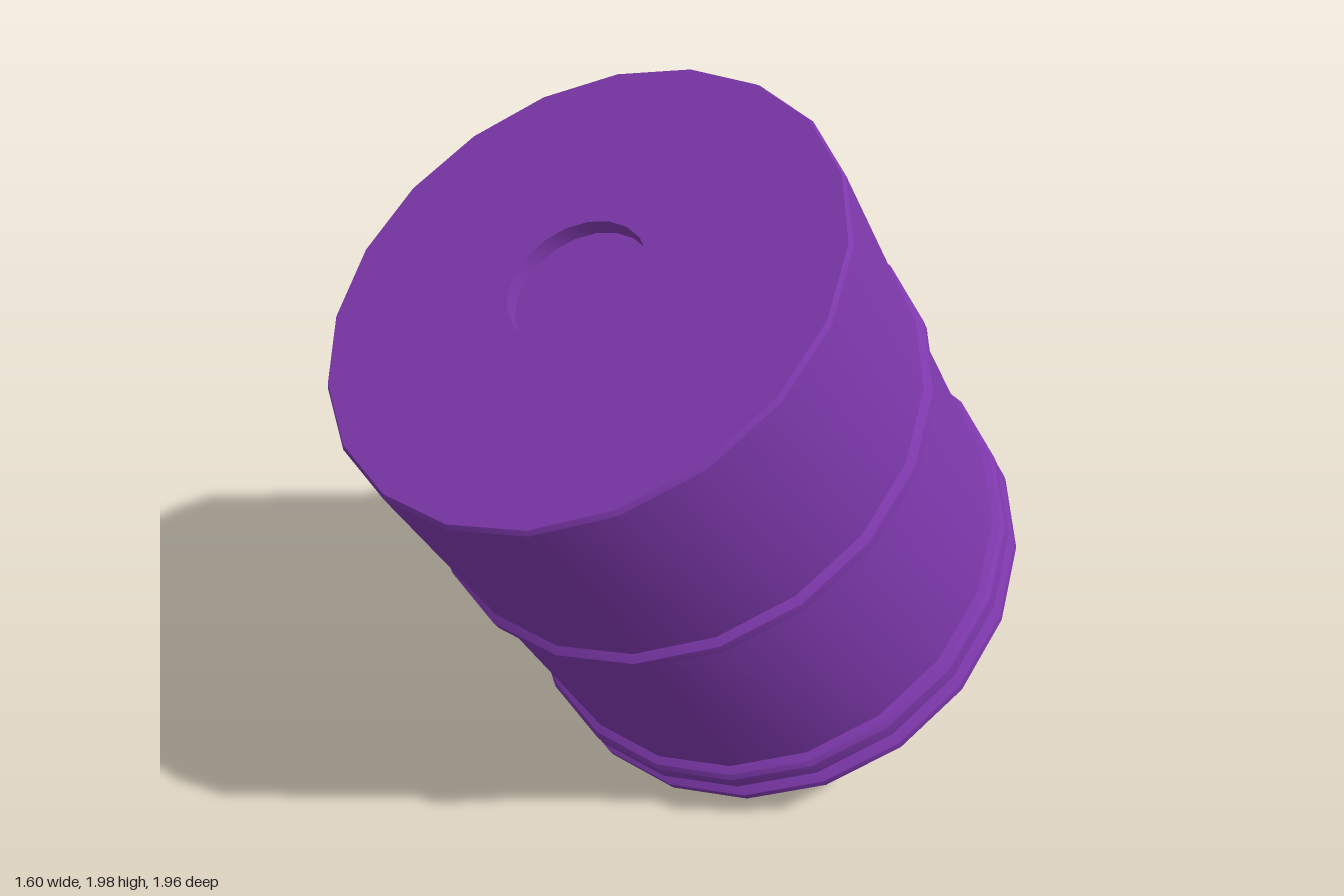
import * as THREE from 'three';
import { toCreasedNormals } from 'three/addons/utils/BufferGeometryUtils.js';

const SIDES = 20;
const material = new THREE.MeshStandardMaterial({ color: 0x7d38ab });

// One turned section of the bucket, from [radius, height] pairs
function turned(name, profile) {
  const points = profile.map(([r, y]) => new THREE.Vector2(r, y));
  const lathe = new THREE.LatheGeometry(points, SIDES, THREE.MathUtils.degToRad(5));
  const mesh = new THREE.Mesh(toCreasedNormals(lathe, 0.5), material);
  mesh.name = name;
  return mesh;
}

export function createModel() {
  const bucket = new THREE.Group();
  bucket.name = 'upturnedBucket';

  // Hollow inside: ceiling, wall and the inner lip at the mouth
  bucket.add(turned('interior', [
    [0, 1.45], [0.665, 1.45], [0.675, 0.06], [0.66, 0.03], [0.68, 0],
  ]));

  // Rolled rim around the open mouth, with a groove above it
  bucket.add(turned('mouthRim', [
    [0.68, 0], [0.725, 0.025], [0.755, 0.055], [0.755, 0.08], [0.72, 0.1], [0.72, 0.125],
  ]));

  // Second ridge above the groove
  bucket.add(turned('rimRidge', [
    [0.72, 0.125], [0.75, 0.137], [0.75, 0.185], [0.74, 0.2], [0.718, 0.21],
  ]));

  // Slightly tapered walls, with a thin hoop between them
  bucket.add(turned('lowerWall', [[0.718, 0.21], [0.701, 0.855]]));
  bucket.add(turned('hoop', [
    [0.701, 0.855], [0.72, 0.865], [0.72, 0.895], [0.7, 0.91],
  ]));
  bucket.add(turned('upperWall', [[0.7, 0.91], [0.69, 1.497]]));

  // Flat closed end with a shallow round recess
  bucket.add(turned('closedEnd', [
    [0.69, 1.497], [0.682, 1.51], [0.186, 1.51], [0.186, 1.465], [0, 1.465],
  ]));

  // Lean the bucket forward and to one side
  const axis = new THREE.Vector3(-0.12, 0.87, 0.475).normalize();
  const side = new THREE.Vector3(1, 0, 0).addScaledVector(axis, -axis.x).normalize();
  const front = new THREE.Vector3().crossVectors(side, axis);
  bucket.setRotationFromMatrix(new THREE.Matrix4().makeBasis(side, axis, front));
  bucket.position.set(0.06, 0.342, -0.345);

  const model = new THREE.Group();
  model.add(bucket);
  return model;
}
